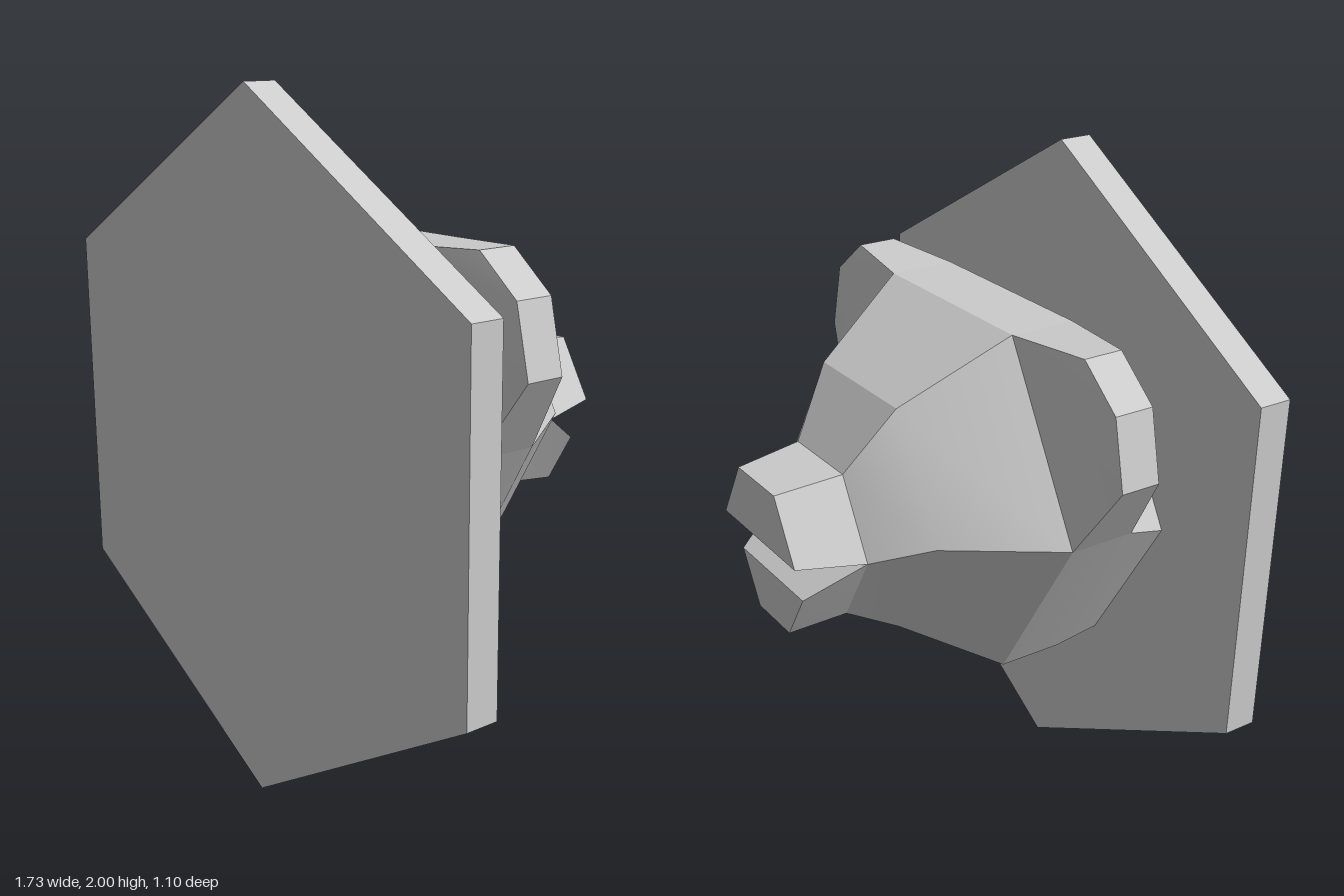
import * as THREE from 'three';
import { toCreasedNormals } from 'three/addons/utils/BufferGeometryUtils.js';

const material = new THREE.MeshStandardMaterial({ color: 0xcccccc });

// Joins rings of [x, y, z] points, ordered clockwise seen from +z and running towards -z.
function loft(rings, { capStart = false, capEnd = false, skip = () => false } = {}) {
  const pos = [];
  const tri = (a, b, c) => pos.push(...a, ...b, ...c);
  const n = rings[0].length;
  for (let i = 0; i < rings.length - 1; i++) {
    for (let j = 0; j < n; j++) {
      if (skip(i, j)) continue;
      const k = (j + 1) % n;
      tri(rings[i][j], rings[i][k], rings[i + 1][k]);
      tri(rings[i][j], rings[i + 1][k], rings[i + 1][j]);
    }
  }
  const first = rings[0], last = rings[rings.length - 1];
  for (let j = 1; j < n - 1; j++) {
    if (capStart) tri(first[0], first[j + 1], first[j]);
    if (capEnd) tri(last[0], last[j], last[j + 1]);
  }
  const geometry = new THREE.BufferGeometry();
  geometry.setAttribute('position', new THREE.Float32BufferAttribute(pos, 3));
  return toCreasedNormals(geometry, 0.35);
}

// Six-sided cross-section of the head
const hexRing = ([z, w, t, top, mid, bottom]) => [
  [-t, top, z], [t, top, z], [w, mid, z], [t, bottom, z], [-t, bottom, z], [-w, mid, z],
];

// Four-sided cross-section of snout and jaw
const quadRing = ([z, topW, top, bottomW, bottom]) => [
  [-topW, top, z], [topW, top, z], [bottomW, bottom, z], [-bottomW, bottom, z],
];

export function createModel() {
  const model = new THREE.Group();
  model.name = 'wallMountedBearHead';
  const add = (name, geometry) => {
    const mesh = new THREE.Mesh(geometry, material);
    mesh.name = name;
    model.add(mesh);
  };

  // Hexagonal wall plaque
  const plaque = new THREE.CylinderGeometry(1, 1, 0.1, 6).toNonIndexed();
  plaque.rotateX(Math.PI / 2).translate(0, 1, 0.5);
  add('plaque', toCreasedNormals(plaque, 0.35));

  // Neck and head, open where the ears grow out: z, half width, flat half width, top, middle, bottom
  add('head', loft([
    [0.45, 0.535, 0.268, 1.46, 1.0, 0.545],
    [0.28, 0.6, 0.3, 1.59, 1.07, 0.55],
    [0.08, 0.6, 0.3, 1.59, 1.07, 0.55],
    [-0.22, 0.395, 0.197, 1.41, 1.07, 0.73],
    [-0.35, 0.253, 0.127, 1.22, 1.0, 0.78],
  ].map(hexRing), { skip: (i, j) => i === 1 && (j === 1 || j === 5) }));

  // Upper snout and lower jaw with the open mouth between them
  add('snout', loft([
    [-0.35, 0.127, 1.22, 0.253, 1.0],
    [-0.55, 0.105, 1.2, 0.208, 1.02],
  ].map(quadRing), { capEnd: true }));
  add('lowerJaw', loft([
    [-0.35, 0.253, 1.0, 0.127, 0.78],
    [-0.515, 0.18, 0.9, 0.09, 0.75],
  ].map(quadRing), { capEnd: true }));

  // Ears: x, y and half thickness around the rim, starting and ending on the head
  const rim = [[0.3, 1.59, 0.1], [0.56, 1.6, 0.06], [0.695, 1.49, 0.06], [0.74, 1.29, 0.06], [0.6, 1.07, 0.1]];
  for (const side of [1, -1]) {
    const points = side > 0 ? rim : [rim[0], ...rim.slice(1).reverse()];
    const ring = (dir) => points.map(([x, y, d]) => [side * x, y, 0.18 + dir * d]);
    const openSide = side > 0 ? 4 : 0;
    add(side > 0 ? 'leftEar' : 'rightEar', loft([ring(1), ring(-1)], {
      capStart: true, capEnd: true, skip: (i, j) => j === openSide,
    }));
  }
  return model;
}
